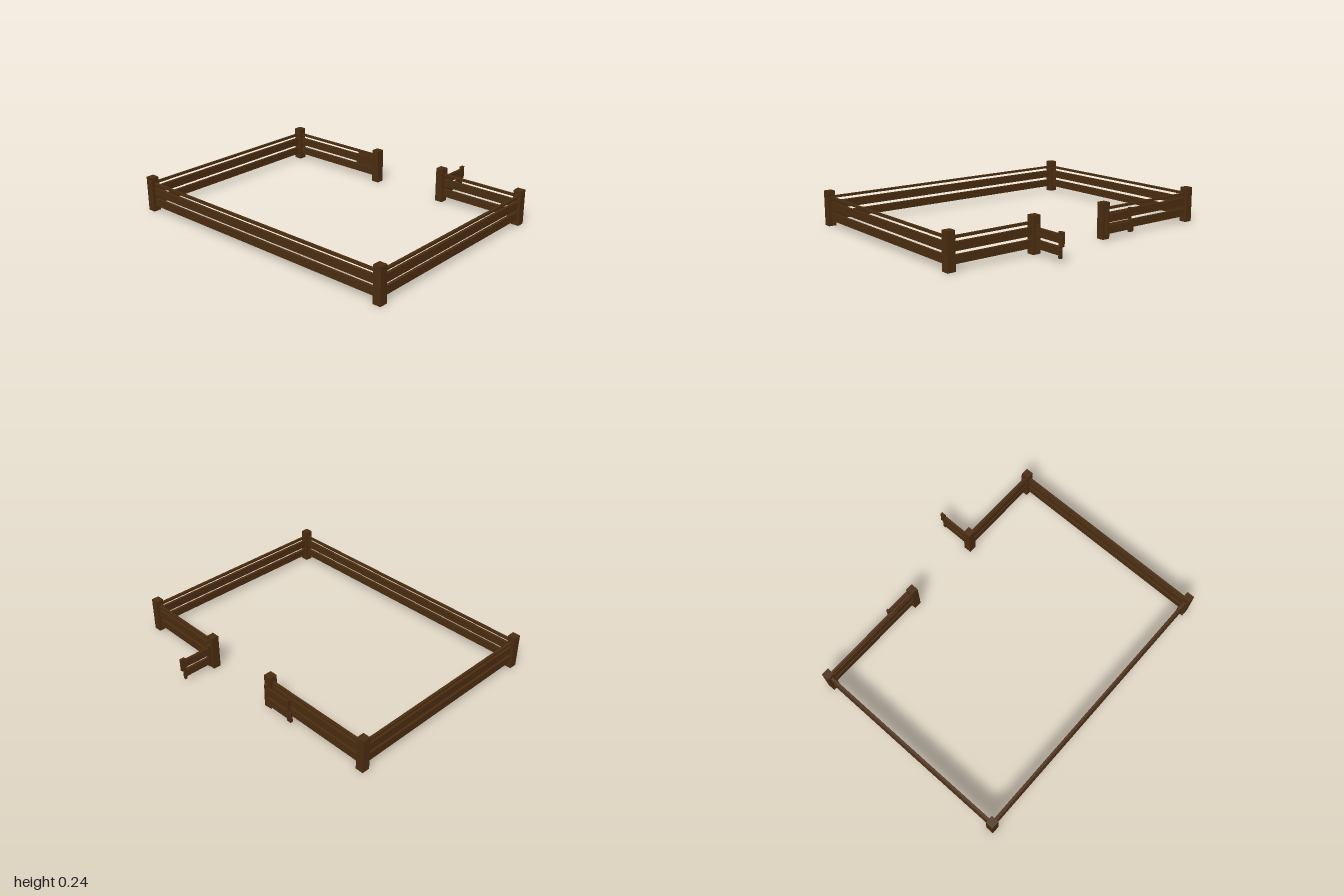
import * as THREE from 'three';

export function createModel() {
  const group = new THREE.Group();
  const wood = new THREE.MeshStandardMaterial({ color: 0x4a2c10 });
  wood.name = 'dark brown wood';

  // Box given by its minimum and maximum corners
  function box(parent, name, x0, x1, y0, y1, z0, z1) {
    const mesh = new THREE.Mesh(new THREE.BoxGeometry(x1 - x0, y1 - y0, z1 - z0), wood);
    mesh.position.set((x0 + x1) / 2, (y0 + y1) / 2, (z0 + z1) / 2);
    mesh.name = name;
    parent.add(mesh);
  }

  const X = 0.973, FRONT = 0.818, BACK = -0.585;
  const GATE_RIGHT = -0.194, GATE_LEFT = 0.37;
  const P = 0.027; // half post width

  // Posts
  const posts = [
    ['frontLeftPost', X, FRONT], ['frontRightPost', -X, FRONT],
    ['backLeftPost', X, BACK], ['backRightPost', -X, BACK],
    ['leftGatePost', GATE_LEFT, BACK], ['rightGatePost', GATE_RIGHT, BACK],
  ];
  for (const [name, x, z] of posts) box(group, name, x - P, x + P, 0, 0.236, z - P, z + P);

  // Rails: two wide boards and a thin top bar between neighbouring posts
  const levels = [['lowerRail', 0.038, 0.09], ['middleRail', 0.111, 0.164], ['topRail', 0.184, 0.199]];
  const T = 0.009; // half rail thickness
  const runs = [
    ['frontFence', -X, X, FRONT, FRONT],
    ['leftFence', X, X, BACK, FRONT],
    ['rightFence', -X, -X, BACK, FRONT],
    ['backRightFence', -X, GATE_RIGHT, BACK, BACK],
    ['backLeftFence', GATE_LEFT, X, BACK, BACK],
  ];
  for (const [name, x0, x1, z0, z1] of runs) {
    const fence = new THREE.Group();
    fence.name = name;
    group.add(fence);
    const alongX = z0 === z1;
    for (const [rail, y0, y1] of levels) {
      if (alongX) box(fence, rail, x0 + P, x1 - P, y0, y1, z0 - T, z0 + T);
      else box(fence, rail, x0 - T, x0 + T, y0, y1, z0 + P, z1 - P);
    }
  }

  // Gate leaf along local +x from its hinge; the tabs of the two leaves overlap when shut
  function gate(name, tabLow, tabHigh) {
    const leaf = new THREE.Group();
    leaf.name = name;
    box(leaf, 'hingeStile', 0, 0.02, 0.02, 0.18, -T, T);
    box(leaf, 'endStile', 0.2, 0.216, 0.02, 0.18, -T, T);
    box(leaf, 'latchTab', 0.216, 0.234, tabLow, tabHigh, -T, T);
    for (const [rail, y0, y1] of levels.slice(0, 2)) box(leaf, rail, 0.02, 0.2, y0, y1, -T, T);
    group.add(leaf);
    return leaf;
  }

  // Left leaf stands open at a right angle
  const left = gate('leftGate', 0.092, 0.18);
  left.position.set(GATE_LEFT, 0, BACK - P);
  left.rotation.y = Math.PI / 2;

  // Right leaf is folded back against the fence
  const right = gate('rightGate', 0.02, 0.092);
  right.position.set(-0.185, 0, BACK - P - T);
  right.rotation.y = Math.PI;

  return group;
}
